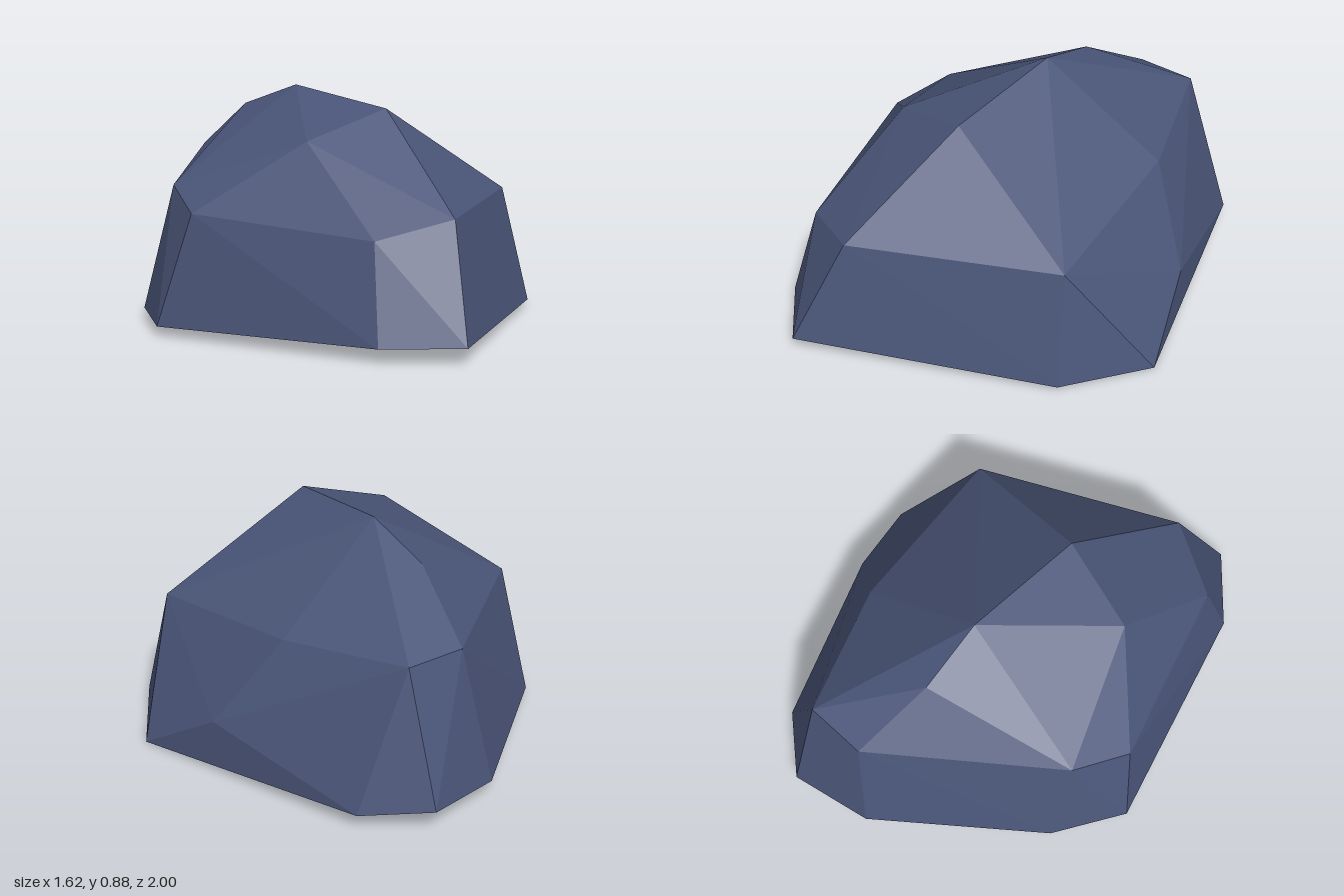
import * as THREE from 'three';
import { ConvexGeometry } from 'three/addons/geometries/ConvexGeometry.js';

export function createModel() {
  const group = new THREE.Group();
  group.name = 'rock';

  const slate = new THREE.MeshStandardMaterial({ color: 0x4a5578, flatShading: true });
  slate.name = 'slate blue stone';

  // Corners of the boulder, ring by ring
  const base = [
    [-0.13, 0.055, 1.0], [0.68, 0.02, 0.36], [0.81, 0.0, -0.01], [0.295, 0.06, -0.87],
    [0.045, 0.09, -1.0], [-0.25, 0.062, -0.86], [-0.71, 0.04, -0.28], [-0.815, 0.035, 0.02],
    [-0.385, 0.052, 0.825],
  ];
  const shoulder = [
    [-0.035, 0.47, 0.8], [0.61, 0.47, 0.275], [0.63, 0.21, -0.3], [0.38, 0.55, -0.39],
    [0.085, 0.6, -0.835], [-0.15, 0.598, -0.78], [-0.645, 0.53, -0.15], [-0.7, 0.455, 0.085],
    [-0.335, 0.41, 0.73],
  ];
  const crown = [
    [0.02, 0.82, 0.3], [-0.335, 0.718, 0.3], [-0.065, 0.88, -0.195], [-0.14, 0.79, -0.46],
  ];

  // Faceted stone wrapped around the corners
  const corners = [...base, ...shoulder, ...crown].map((p) => new THREE.Vector3(...p));
  const boulder = new THREE.Mesh(new ConvexGeometry(corners), slate);
  boulder.name = 'boulder';
  group.add(boulder);

  return group;
}
